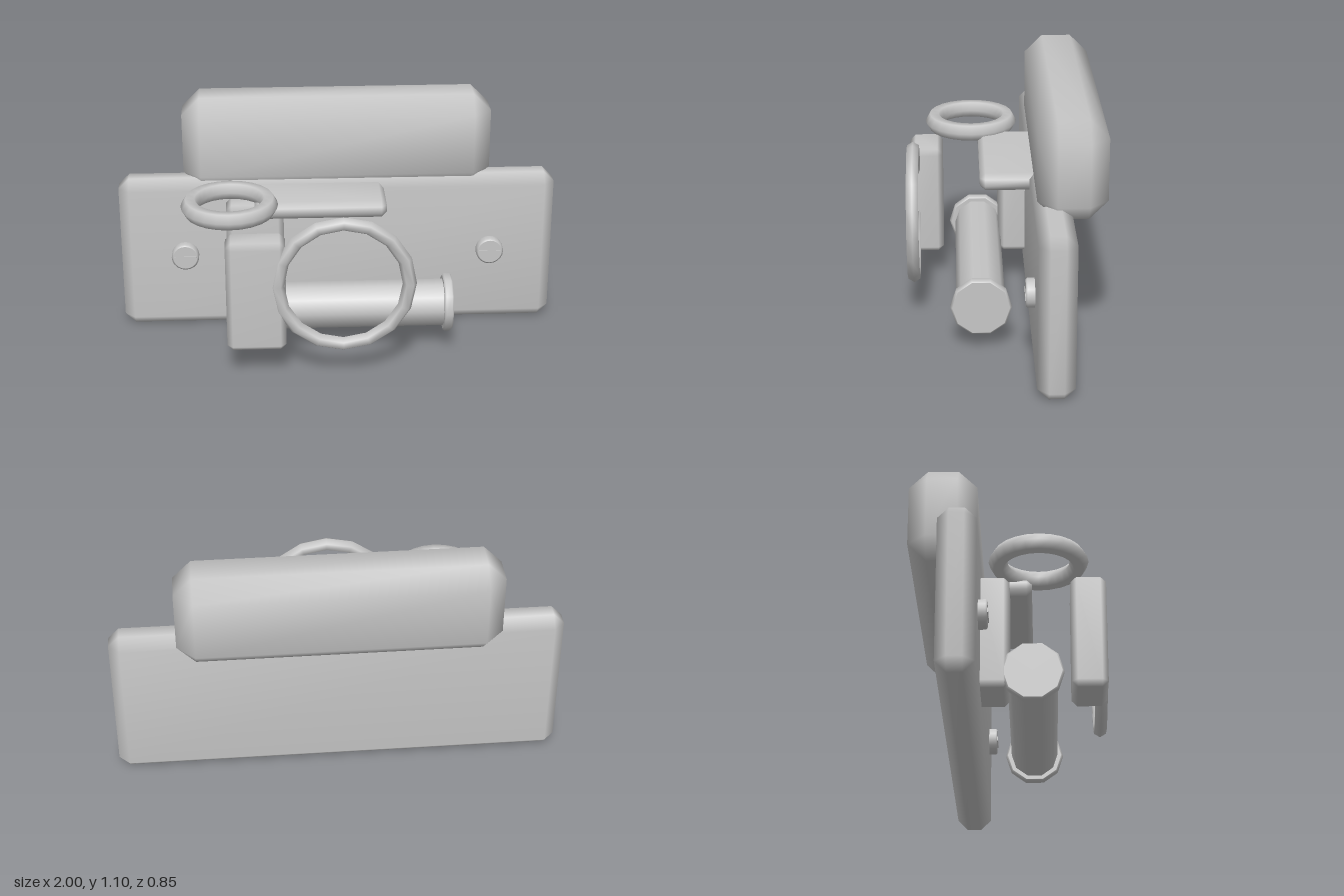
import * as THREE from 'three';
import { mergeVertices } from 'three/addons/utils/BufferGeometryUtils.js';
import { ConvexGeometry } from 'three/addons/geometries/ConvexGeometry.js';

// Box with one flat chamfer per edge and blended normals, from min/max corners
function chamferBox(min, max, c) {
  const half = min.map((v, i) => (max[i] - v) / 2);
  const points = [];
  for (const sx of [-1, 1]) for (const sy of [-1, 1]) for (const sz of [-1, 1]) {
    for (let axis = 0; axis < 3; axis++) {
      const p = [sx, sy, sz].map((s, i) => s * (half[i] - (i === axis ? 0 : c)));
      points.push(new THREE.Vector3(...p));
    }
  }
  let geo = new ConvexGeometry(points);
  geo.deleteAttribute('normal');
  geo = mergeVertices(geo, 1e-4);
  geo.computeVertexNormals();
  geo.translate(...min.map((v, i) => v + half[i]));
  return geo;
}

// Disc with bevelled rims, centred on the origin along y
function bevelDisc(r, h, b, sides) {
  const profile = [
    [0, -h / 2], [r - b * 1.2, -h / 2], [r - b, -h / 2], [r, -h / 2 + b],
    [r, h / 2 - b], [r - b, h / 2], [r - b * 1.2, h / 2], [0, h / 2],
  ].map(([x, y]) => new THREE.Vector2(x, y));
  return new THREE.LatheGeometry(profile, sides);
}

export function createModel() {
  const model = new THREE.Group();
  model.name = 'wallBracket';
  const grey = new THREE.MeshStandardMaterial({ color: 0xc6c6c6 });
  grey.name = 'grey';

  function add(name, geo, x = 0, y = 0, z = 0) {
    const mesh = new THREE.Mesh(geo, grey);
    mesh.name = name;
    mesh.position.set(x, y, z);
    model.add(mesh);
    return mesh;
  }

  // Chamfered blocks
  add('backPlate', chamferBox([-1, 0, -0.278], [1, 0.73, -0.118], 0.048));
  add('topBlock', chamferBox([-0.703, 0.663, -0.426], [0.703, 1.097, -0.13], 0.081));
  add('rearBlock', chamferBox([-0.51, 0.138, -0.15], [-0.25, 0.65, 0.005], 0.025));
  add('frontBlock', chamferBox([-0.51, 0.138, 0.265], [-0.25, 0.65, 0.418], 0.025));
  add('ledge', chamferBox([-0.38, 0.625, -0.16], [0.21, 0.705, 0.1], 0.024));

  // Horizontal bar with an end flange on each side
  const bar = new THREE.CylinderGeometry(0.107, 0.107, 0.96, 10, 1, true);
  add('bar', bar.rotateZ(Math.PI / 2), 0, 0.205, 0.102);
  const flange = bevelDisc(0.133, 0.04, 0.007, 10).rotateZ(Math.PI / 2);
  for (const side of [-1, 1]) {
    add(side > 0 ? 'leftFlange' : 'rightFlange', flange, side * 0.487, 0.205, 0.102);
  }

  // Rings
  add('frontRing', new THREE.TorusGeometry(0.288, 0.031, 6, 16), 0, 0.449, 0.398);
  const flatRing = new THREE.TorusGeometry(0.174, 0.041, 6, 24).rotateX(Math.PI / 2);
  add('flatRing', flatRing, -0.49, 0.719, 0.13);

  // Screws with a thin raised bar across each head
  const head = bevelDisc(0.063, 0.05, 0.007, 20).rotateX(Math.PI / 2);
  const slot = new THREE.BoxGeometry(0.1, 0.02, 0.009);
  for (const side of [-1, 1]) {
    const prefix = side > 0 ? 'left' : 'right';
    add(prefix + 'ScrewHead', head, side * 0.704, 0.368, -0.105);
    add(prefix + 'ScrewSlot', slot, side * 0.704, 0.364, -0.081);
  }
  return model;
}
